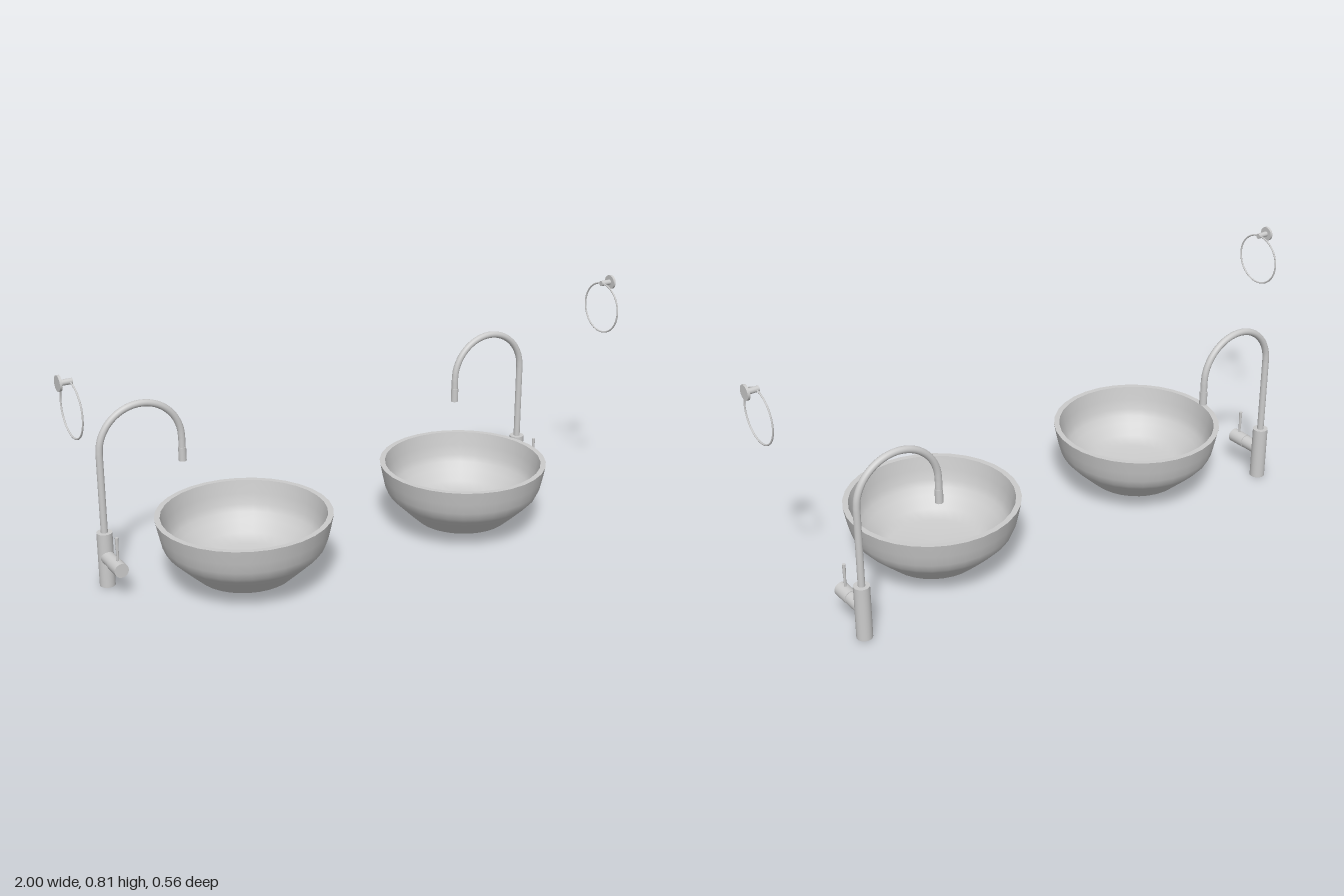
import * as THREE from 'three';

const material = new THREE.MeshStandardMaterial({ color: 0xcccccc, side: THREE.DoubleSide });

function add(parent, name, geometry, x = 0, y = 0, z = 0) {
  const mesh = new THREE.Mesh(geometry, material);
  mesh.name = name;
  mesh.position.set(x, y, z);
  parent.add(mesh);
  return mesh;
}

const rod = (r, h, top = r, sides = 24) => new THREE.CylinderGeometry(top, r, h, sides);

// Vessel basin: outer wall, rim and hollow; repeated points keep edges crisp
function makeBasin() {
  const basin = new THREE.Group();
  basin.name = 'basin';
  const sections = {
    basinBase: [[0, 0.04], [0.157, 0.04]],
    basinOuterWall: [[0.157, 0.04], [0.2, 0.08], [0.238, 0.117], [0.253, 0.134], [0.264, 0.16], [0.272, 0.195], [0.281, 0.24]],
    basinRim: [[0.281, 0.24], [0.263, 0.24]],
    basinHollow: [[0.263, 0.24], [0.255, 0.195], [0.247, 0.16], [0.236, 0.138], [0.218, 0.117], [0.185, 0.085], [0.155, 0.06], [0, 0.056]],
  };
  for (const [name, points] of Object.entries(sections)) {
    add(basin, name, new THREE.LatheGeometry(points.map(([r, y]) => new THREE.Vector2(r, y)), 32));
  }
  return basin;
}

// Gooseneck tap, spout reaching towards +x and handle towards +z
function makeTap() {
  const tap = new THREE.Group();
  tap.name = 'tap';
  add(tap, 'tapBody', rod(0.0252, 0.183), 0, 0.0915);

  const reach = 0.139, bend = 0.447;
  const path = new THREE.CurvePath();
  path.add(new THREE.LineCurve3(new THREE.Vector3(0, 0.18, 0), new THREE.Vector3(0, bend, 0)));
  const arc = [];
  for (let i = 0; i <= 16; i++) {
    const a = Math.PI * (1 - i / 16);
    arc.push(new THREE.Vector3(reach + reach * Math.cos(a), bend + reach * Math.sin(a), 0));
  }
  path.add(new THREE.CatmullRomCurve3(arc));
  path.add(new THREE.LineCurve3(new THREE.Vector3(2 * reach, bend, 0), new THREE.Vector3(2 * reach, 0.38, 0)));
  add(tap, 'spout', new THREE.TubeGeometry(path, 80, 0.0112, 16));
  add(tap, 'spoutNozzle', rod(0.0128, 0.046, 0.0128, 16), 2 * reach, 0.39);

  // Side valve with rotating cap and pin lever
  add(tap, 'valveNeck', rod(0.0222, 0.065), 0, 0.102, 0.0325).rotation.x = Math.PI / 2;
  add(tap, 'valveCap', rod(0.0235, 0.061), 0, 0.102, 0.0965).rotation.x = Math.PI / 2;
  add(tap, 'lever', rod(0.0035, 0.085, 0.0055, 12), 0, 0.161, 0.1);
  return tap;
}

// Wall-mounted towel ring, wall side towards -x
function makeTowelRing() {
  const holder = new THREE.Group();
  holder.name = 'towelRing';
  add(holder, 'wallPlate', rod(0.024, 0.008), 0.004, 0.784).rotation.z = Math.PI / 2;
  add(holder, 'stem', rod(0.009, 0.038, 0.009, 16), 0.026, 0.784).rotation.z = Math.PI / 2;
  add(holder, 'ring', new THREE.TorusGeometry(0.085, 0.0028, 8, 48), 0.037, 0.698).rotation.y = Math.PI / 2;
  return holder;
}

export function createModel() {
  const model = new THREE.Group();
  model.name = 'doubleBasinSet';
  for (const side of [-1, 1]) {
    const label = side < 0 ? 'right' : 'left';
    const basin = makeBasin();
    basin.position.x = side * 0.4145 - 0.0025;

    const tap = makeTap();
    tap.position.set(side * 0.7995 - 0.0025, 0, -0.21);
    tap.rotation.y = 0;
    tap.scale.x = -side;

    const towelRing = makeTowelRing();
    towelRing.position.set(side, 0, 0.02);
    towelRing.scale.x = -side;

    for (const part of [basin, tap, towelRing]) {
      part.name = label + part.name[0].toUpperCase() + part.name.slice(1);
      model.add(part);
    }
  }
  return model;
}
